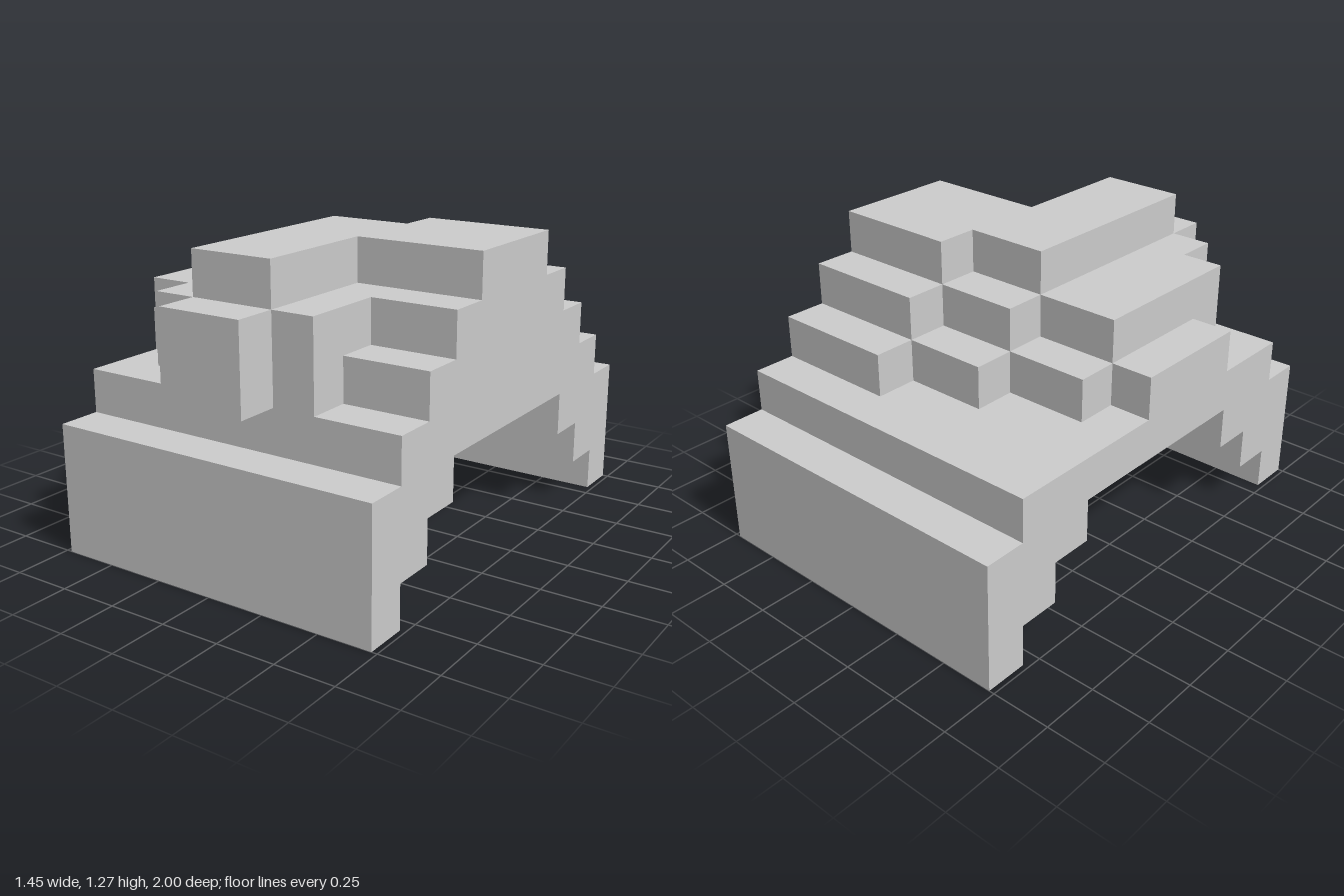
import * as THREE from 'three';

// One block of the model; the depth of 11 blocks is 2 units
const U = 2 / 11;
const material = new THREE.MeshStandardMaterial({ color: 0xcccccc, flatShading: true });

function extrude(points, depth) {
  const shape = new THREE.Shape(points.map(([a, b]) => new THREE.Vector2(a, b)));
  return new THREE.ExtrudeGeometry(shape, { depth, bevelEnabled: false });
}

function addPart(group, name, geometry) {
  geometry.scale(U, U, U);
  const mesh = new THREE.Mesh(geometry, material);
  mesh.name = name;
  group.add(mesh);
}

// Slab one block high from an (x, z) outline, with its top at the given level
function addLayer(group, name, top, outline) {
  addPart(group, name, extrude(outline, 1).rotateX(Math.PI / 2).translate(0, top, 0));
}

export function createModel() {
  const group = new THREE.Group();
  group.name = 'steppedArchHill';

  // Stepped arch: half profile in (z, y), mirrored, run across the full width
  const half = [
    [2.5, 3], [2.5, 2], [3.5, 2], [3.5, 1], [4.5, 1], [4.5, 0],
    [5.5, 0], [5.5, 3], [4.5, 3], [4.5, 4],
  ];
  const mirrored = half.map(([z, y]) => [-z, y]).reverse();
  addPart(group, 'archBase',
    extrude([...half, ...mirrored], 8).rotateY(-Math.PI / 2).translate(4, 0, 0));

  // Terraces stacked on the arch
  addLayer(group, 'lowerTerrace', 5, [
    [1, -3.5], [4, -3.5], [4, 3.5], [2, 3.5], [2, 4.5], [-2, 4.5], [-2, 3.5],
    [-3, 3.5], [-3, 2.5], [-4, 2.5], [-4, -0.5], [-3, -0.5], [-3, -1.5],
    [-1, -1.5], [-1, -2.5], [1, -2.5],
  ]);
  addLayer(group, 'middleTerrace', 6, [
    [1, -2.5], [4, -2.5], [4, 2.5], [2, 2.5], [2, 4.5], [-2, 4.5], [-2, 3.5],
    [-3, 3.5], [-3, -0.5], [-1, -0.5], [-1, -1.5], [1, -1.5],
  ]);
  addLayer(group, 'topTerrace', 7, [
    [1, -1.5], [4, -1.5], [4, 1.5], [1, 1.5], [1, 4.5], [-1, 4.5], [-1, -0.5], [1, -0.5],
  ]);

  // Block overhanging the front step
  addPart(group, 'frontOverhang', new THREE.BoxGeometry(2, 2, 1).translate(0, 5, 5));

  return group;
}
